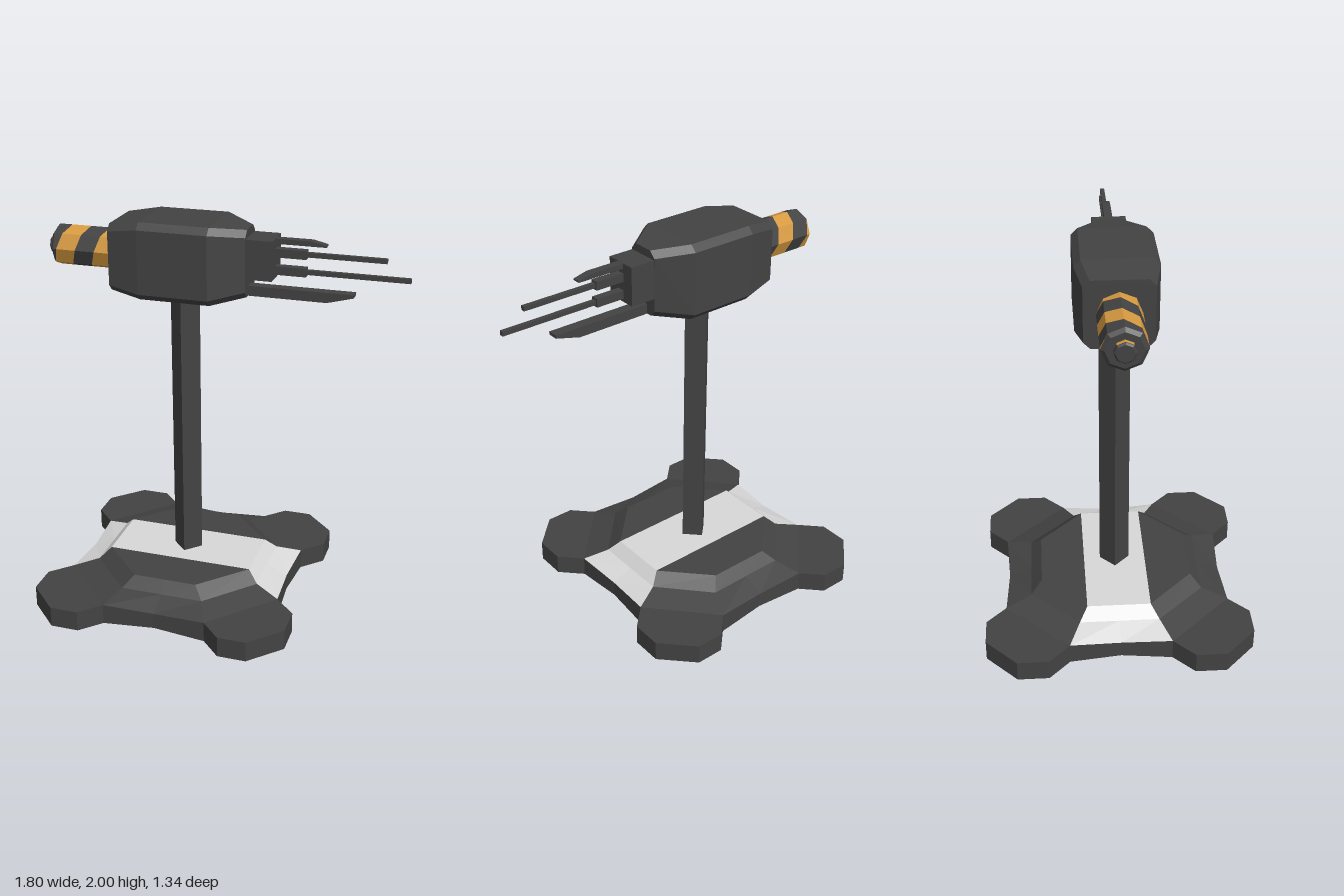
import * as THREE from 'three';

const dark = new THREE.MeshStandardMaterial({ color: 0x434343 });
dark.name = 'dark grey';
const light = new THREE.MeshStandardMaterial({ color: 0xd8d8d8 });
light.name = 'light grey';
const amber = new THREE.MeshStandardMaterial({ color: 0xd69a40 });
amber.name = 'amber';

// Flat-faced mesh from a list of triangles and quads (counterclockwise corners)
function facets(name, faces, material) {
  const pos = [];
  for (const f of faces) {
    for (let i = 1; i < f.length - 1; i++) pos.push(...f[0], ...f[i], ...f[i + 1]);
  }
  const g = new THREE.BufferGeometry();
  g.setAttribute('position', new THREE.Float32BufferAttribute(pos, 3));
  g.computeVertexNormals();
  return named(name, g, material);
}

function named(name, geometry, material) {
  const m = new THREE.Mesh(geometry, material);
  m.name = name;
  return m;
}

function box(name, x0, x1, y0, y1, halfZ) {
  const m = named(name, new THREE.BoxGeometry(x1 - x0, y1 - y0, 2 * halfZ), dark);
  m.position.set((x0 + x1) / 2, (y0 + y1) / 2, 0);
  return m;
}

// Side profile in x, y extruded evenly about z = 0
function blade(name, points, halfZ) {
  const shape = new THREE.Shape(points.map(p => new THREE.Vector2(...p)));
  const g = new THREE.ExtrudeGeometry(shape, { depth: 2 * halfZ, bevelEnabled: false });
  g.translate(0, 0, -halfZ);
  return named(name, g, dark);
}

// Quads joining two rings
function band(a, b) {
  return a.map((p, i) => {
    const n = (i + 1) % a.length;
    return [p, a[n], b[n], b[i]];
  });
}

// Loft of rings along x, closed at both ends
function loft(name, rings, material) {
  const faces = [];
  for (let i = 0; i < rings.length - 1; i++) faces.push(...band(rings[i], rings[i + 1]));
  faces.push(rings[rings.length - 1], [...rings[0]].reverse());
  return facets(name, faces, material);
}

// Mirror a quarter of the outline (eight [x, z] points) into a full ring
function baseRing(quarter, padY, midY) {
  const q = quarter.map(([x, z], i) => [x, i === 0 || i === 7 ? midY : padY, z]);
  const half = [...q, ...q.slice(0, 7).reverse().map(([x, y, z]) => [x, y, -z])];
  return [...half, ...half.slice(1, 14).reverse().map(([x, y, z]) => [-x, y, z])];
}

function createBase() {
  const base = new THREE.Group();
  base.name = 'base';
  const rim = [[0, .555], [.27, .57], [.37, .67], [.515, .67], [.67, .515], [.67, .36], [.565, .255], [.55, 0]];
  const step = (m, a, b, e) => [m, a, a, a, b, b, b, e];
  const foot = baseRing(rim, .002, .016);
  const edge = baseRing(rim, .11, .1);
  const pad = baseRing(step(rim[0], rim[1], rim[6], rim[7]), .11, .1);
  const mid = baseRing(step([0, .44], [.215, .44], [.44, .2], [.44, 0]), .145, .145);
  const top = baseRing(step([0, .385], [.165, .385], [.385, .16], [.385, 0]), .2, .2);

  // Dark shell with light slopes at both ends of the middle strip
  const darkFaces = [...band(foot, edge), ...band(edge, pad)];
  const lightFaces = [];
  for (const b of [band(pad, mid), band(mid, top)]) {
    b.forEach((f, i) => ([6, 7, 20, 21].includes(i) ? lightFaces : darkFaces).push(f));
  }
  const w = .385, s = .16, t = .165, y = .2;
  darkFaces.push([[-w, y, s], [-t, y, w], [t, y, w], [w, y, s]]);
  darkFaces.push([[w, y, -s], [t, y, -w], [-t, y, -w], [-w, y, -s]]);
  lightFaces.push([[-w, y, s], [w, y, s], [w, y, -s], [-w, y, -s]]);
  foot.forEach((p, i) => darkFaces.push([[0, .012, 0], foot[(i + 1) % foot.length], p]));
  base.add(facets('baseShell', darkFaces, dark), facets('baseStrip', lightFaces, light));

  // Painted warning stripes underneath
  const outer = [[.655, -.36], [.655, -.5], [.51, -.655], [.45, -.63], [.31, -.42], [.34, -.2], [.37, .1],
    [.34, .3], [.38, .42], [.35, .63], [.38, .655], [.51, .655], [.655, .5], [.655, .36], [.555, .255], [.54, 0], [.555, -.255]];
  const centre = [[.11, .31], [.185, .03], [.035, -.415], [-.11, -.13], [-.175, .23], [-.05, .42]];
  for (const poly of [outer, centre, outer.map(([x, z]) => [-x, -z])]) {
    const g = new THREE.ShapeGeometry(new THREE.Shape(poly.map(p => new THREE.Vector2(...p))));
    g.rotateX(Math.PI / 2);
    base.add(named('undersideStripe', g, amber));
  }
  base.position.x = -.205;
  return base;
}

// Eight-sided ring about the x axis
function octagon(x, r, y) {
  return Array.from({ length: 8 }, (_, i) => {
    const a = i * Math.PI / 4;
    return [x, y + r * Math.cos(a), r * Math.sin(a)];
  });
}

function createDrum() {
  const drum = new THREE.Group();
  drum.name = 'rearDrum';
  const y = 1.816, r = .103, x0 = -.858, x1 = -.54;
  const faces = [[], []];
  // Spiral stripes cut facet by facet
  for (let i = 0; i < 8; i++) {
    for (let k = -3; k < 5; k++) {
      const at = (step, j) => {
        const a = j * Math.PI / 4;
        const x = THREE.MathUtils.clamp(-.74 + .1 * step + .05 - .1 * a / Math.PI, x0, x1);
        return [x, y + r * Math.cos(a), r * Math.sin(a)];
      };
      const f = [at(k, i), at(k, i + 1), at(k + 1, i + 1), at(k + 1, i)];
      if (f[3][0] - f[0][0] + f[2][0] - f[1][0] > 1e-4) faces[Math.abs(k) % 2].push(f);
    }
  }
  drum.add(facets('darkStripes', faces[0], dark), facets('amberStripes', faces[1], amber));
  drum.add(loft('drumEnd', [octagon(-.872, .085, y), octagon(x0, r, y)], dark));
  // Small end cap with painted upper facets
  drum.add(loft('endCap', [octagon(-.9, .042, y), octagon(-.892, .05, y), octagon(-.87, .05, y)], dark));
  const paint = band(octagon(-.892, .052, y), octagon(-.872, .052, y));
  drum.add(facets('capPaint', [paint[0], paint[7], paint[3]], amber));
  return drum;
}

function createHead() {
  const head = new THREE.Group();
  head.name = 'turretHead';
  // Chamfered body lofted along x
  const section = ([x, h, w]) => {
    const c = .032, v = w - c, u = h - c;
    return [[h, v], [u, w], [-u, w], [-h, v], [-h, -v], [-u, -w], [u, -w], [h, -v]].map(([y, z]) => [x, 1.81 + y, z]);
  };
  const stations = [[-.54, .165, .16], [-.38, .19, .193], [-.03, .19, .193], [.125, .165, .085]];
  head.add(loft('body', stations.map(section), dark));
  head.add(box('noseBlock', .12, .255, 1.742, 1.936, .083));
  // Two barrels with thicker sleeves
  for (const [y, end] of [[1.865, .785], [1.78, .9]]) {
    head.add(box('barrelSleeve', .25, .405, y - .021, y + .021, .02));
    head.add(box('barrel', .4, end, y - .011, y + .011, .011));
  }
  head.add(blade('upperBlade', [[.25, 1.91], [.5, 1.91], [.5, 1.918], [.43, 1.935], [.25, 1.935]], .02));
  head.add(blade('lowerBlade', [[.1, 1.645], [.51, 1.645], [.64, 1.68], [.64, 1.695], [.1, 1.695]], .027));
  head.add(createDrum());
  return head;
}

export function createModel() {
  const model = new THREE.Group();
  model.name = 'sentryTurret';
  // Diamond-section post
  const post = named('post', new THREE.CylinderGeometry(.076, .076, 1.42, 4).toNonIndexed(), dark);
  post.geometry.computeVertexNormals();
  post.position.set(-.205, .9, 0);
  model.add(createBase(), post, createHead());
  return model;
}
